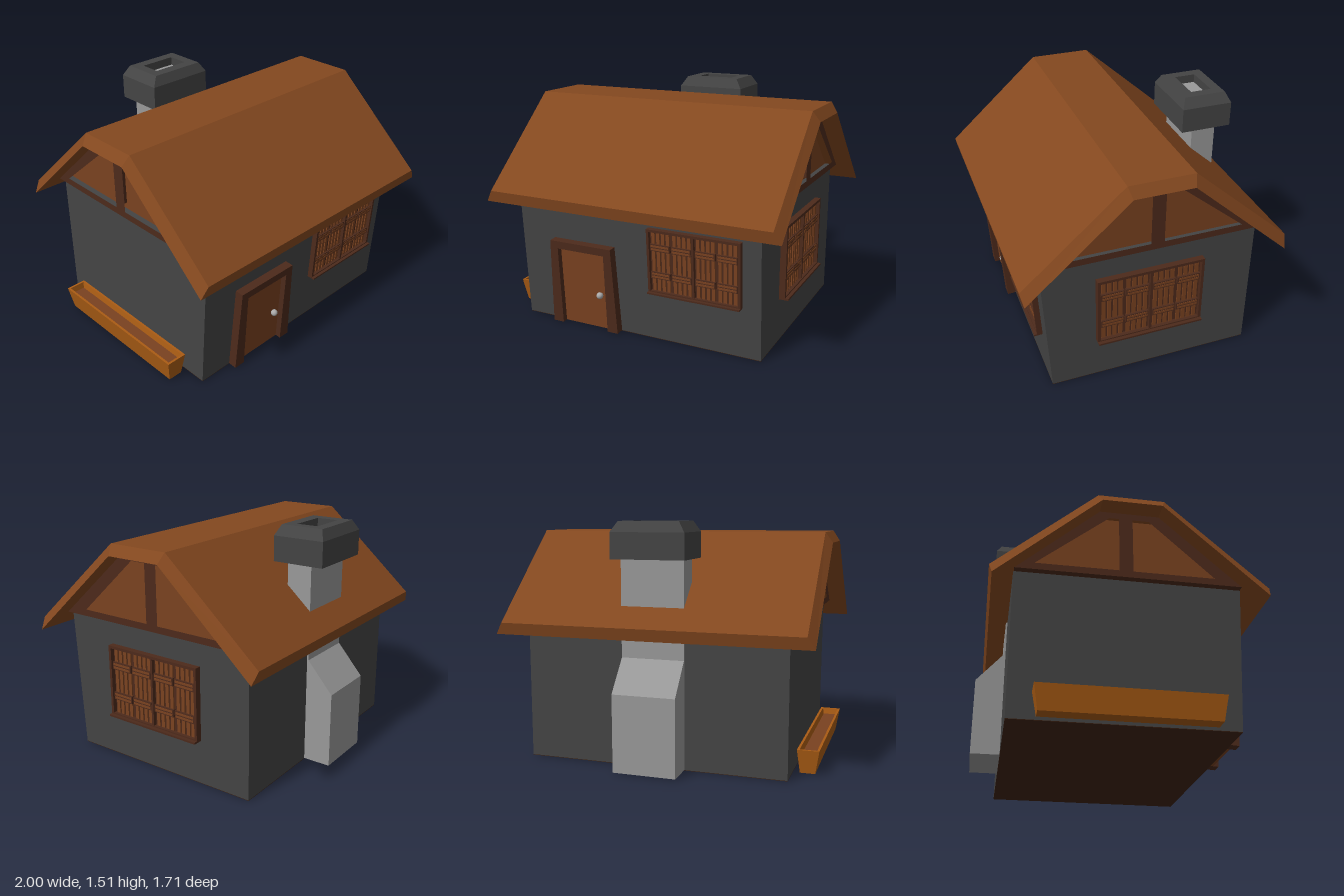
import * as THREE from 'three';

const C = {
  wall: 0x444444, stone: 0x999999, roof: 0x84481f, panel: 0x7a4220,
  beam: 0x4d2a1b, floor: 0x3f2413, planter: 0xaa5c14, knob: 0xaaaaaa,
};

function mesh(name, geometry, color) {
  const m = new THREE.Mesh(geometry, new THREE.MeshStandardMaterial({ color, flatShading: true }));
  m.name = name;
  return m;
}

function box(name, color, w, h, d, x, y, z) {
  const m = mesh(name, new THREE.BoxGeometry(w, h, d), color);
  m.position.set(x, y, z);
  return m;
}

// Geometry from four-cornered faces, corners counter-clockwise
function fromQuads(quads) {
  const pos = quads.flatMap(([a, b, c, d]) => [a, b, c, a, c, d].flat());
  const g = new THREE.BufferGeometry();
  g.setAttribute('position', new THREE.Float32BufferAttribute(pos, 3));
  g.computeVertexNormals();
  return g;
}

// Rectangular ring at height y, and a capped loft through such rings
const ring = (y, x0, x1, z0, z1) => [[x0, y, z1], [x1, y, z1], [x1, y, z0], [x0, y, z0]];
function loft(rings) {
  const quads = [[...rings[0]].reverse(), rings[rings.length - 1]];
  for (let r = 0; r + 1 < rings.length; r++) {
    for (let i = 0; i < 4; i++) {
      const j = (i + 1) % 4;
      quads.push([rings[r][i], rings[r][j], rings[r + 1][j], rings[r + 1][i]]);
    }
  }
  return fromQuads(quads);
}

// Side profile of [z, y] points extruded along x, with optional holes
function extrudeX(points, x0, x1, holes = []) {
  const vec = (pts) => pts.map(([z, y]) => new THREE.Vector2(-z, y));
  const shape = new THREE.Shape(vec(points));
  holes.forEach((h) => shape.holes.push(new THREE.Path(vec(h))));
  const g = new THREE.ExtrudeGeometry(shape, { depth: x1 - x0, bevelEnabled: false });
  return g.rotateY(Math.PI / 2).translate(x0, 0, 0);
}

// Roof shell: outer skin shorter than the inner one, so the ends are bevelled
function roof() {
  const outer = [[0.855, 0.885], [0.225, 1.445], [-0.185, 1.445], [-0.815, 0.885]];
  const inner = [[0.84, 0.81], [0.205, 1.38], [-0.165, 1.38], [-0.797, 0.81]];
  const O = (i, s) => [s * 0.955, outer[i][1], outer[i][0]];
  const I = (i, s) => [s, inner[i][1], inner[i][0]];
  const quads = [
    [I(0, -1), I(0, 1), O(0, 1), O(0, -1)],
    [O(3, -1), O(3, 1), I(3, 1), I(3, -1)],
  ];
  for (let i = 0; i < 3; i++) {
    quads.push(
      [O(i, -1), O(i, 1), O(i + 1, 1), O(i + 1, -1)],
      [I(i + 1, -1), I(i + 1, 1), I(i, 1), I(i, -1)],
      [I(i, 1), I(i + 1, 1), O(i + 1, 1), O(i, 1)],
      [O(i, -1), O(i + 1, -1), I(i + 1, -1), I(i, -1)],
    );
  }
  return mesh('roof', fromQuads(quads), C.roof);
}

// Shuttered window facing +z, centred on its origin
function shutterWindow(name) {
  const g = new THREE.Group();
  g.name = name;
  const W = 0.695, H = 0.475, f = 0.018, half = (W - 2 * f - 0.016) / 2;
  g.add(box('windowBacking', C.beam, W - f, H - f, 0.012, 0, 0, 0.006));
  for (const s of [-1, 1]) {
    g.add(box('frameSide', C.beam, f, H, 0.04, s * (W - f) / 2, 0, 0.02));
    g.add(box('frameRail', C.beam, W - 2 * f, f, 0.04, 0, s * (H - f) / 2, 0.02));
    for (const k of [0.25, 0.75]) {
      const cx = s * (0.008 + half * k);
      for (let i = 0; i < 4; i++) {
        g.add(box('slat', C.panel, 0.024, H - 2 * f, 0.01, cx + (i - 1.5) * 0.037, 0, 0.015));
      }
      // Cross bars with a lighter inset strip
      for (const y of [0.105, -0.1]) {
        g.add(box('crossBar', C.beam, 0.15, 0.05, 0.02, cx, y, 0.022));
        for (const dy of [-0.011, 0.011]) {
          g.add(box('barInset', C.panel, 0.135, 0.014, 0.004, cx, y + dy, 0.032));
        }
      }
    }
  }
  g.add(box('mullion', C.beam, 0.016, H - 2 * f, 0.036, 0, 0, 0.018));
  g.add(box('sill', C.beam, W, 0.012, 0.062, 0, -H / 2 + 0.004, 0.031));
  return g;
}

// Door with flared frame, facing +z, standing on its origin
function door() {
  const g = new THREE.Group();
  g.name = 'door';
  const outline = [[-0.245, 0.004], [-0.17, 0.004], [-0.17, 0.53], [0.17, 0.53],
    [0.17, 0.004], [0.245, 0.004], [0.223, 0.58], [-0.223, 0.58]];
  const shape = new THREE.Shape(outline.map(([x, y]) => new THREE.Vector2(x, y)));
  g.add(mesh('doorFrame', new THREE.ExtrudeGeometry(shape, { depth: 0.057, bevelEnabled: false }), C.beam));
  g.add(box('doorLeaf', C.panel, 0.34, 0.526, 0.02, 0, 0.267, 0.01));
  const knob = mesh('doorKnob', new THREE.SphereGeometry(0.022, 16, 10), C.knob);
  knob.material.flatShading = false;
  knob.position.set(0.114, 0.24, 0.035);
  g.add(knob);
  return g;
}

export function createModel() {
  const house = new THREE.Group();
  house.name = 'cottage';
  const lean = Math.atan2(0.054, 0.925);

  // Walls with the front leaning outward, and the floor
  house.add(mesh('walls', extrudeX([[0.66, 0.003], [0.714, 0.925], [-0.673, 0.925], [-0.673, 0.003]], -0.837, 0.837), C.wall));
  house.add(mesh('floor', loft([ring(0, -0.837, 0.837, -0.673, 0.66), ring(0.003, -0.837, 0.837, -0.673, 0.66)]), C.floor));
  house.add(roof());

  // Gable panels and timber frames at both ends
  const gable = [[0.714, 0.925], [0.205, 1.38], [-0.165, 1.38], [-0.673, 0.925]];
  const holes = [
    [[0.545, 0.968], [0.142, 1.338], [0.04, 1.338], [0.04, 0.968]],
    [[-0.045, 0.968], [-0.045, 1.338], [-0.105, 1.338], [-0.553, 0.968]],
  ];
  house.add(mesh('gablePanels', extrudeX(gable, -0.8, 0.8), C.panel));
  for (const x0 of [-0.88, 0.8]) {
    house.add(mesh('gableTimber', extrudeX(gable, x0, x0 + 0.08, holes), C.beam));
  }

  // Door and windows
  const d = door();
  d.position.set(-0.363, 0, 0.66);
  d.rotation.x = lean;
  const front = shutterWindow('frontWindow');
  front.position.set(0.415, 0.54, 0.691);
  front.rotation.x = lean;
  front.scale.setScalar(0.88);
  const side = shutterWindow('sideWindow');
  side.position.set(0.837, 0.5275, 0.0225);
  side.rotation.y = Math.PI / 2;
  house.add(d, front, side);

  // Chimney with a sloped shoulder and a hollow bevelled cap
  house.add(mesh('chimneyStack', extrudeX([[-0.52, 0.004], [-0.52, 1.46], [-0.683, 1.46],
    [-0.683, 0.685], [-0.853, 0.49], [-0.853, 0.004]], -0.2, 0.2), C.stone));
  house.add(mesh('chimneyCap', loft([
    ring(1.29, -0.232, 0.232, -0.774, -0.436),
    ring(1.45, -0.232, 0.232, -0.774, -0.436),
    ring(1.515, -0.19, 0.19, -0.743, -0.464),
    ring(1.515, -0.124, 0.124, -0.675, -0.535),
    ring(1.45, -0.124, 0.124, -0.675, -0.535),
  ]), C.wall));

  // Long planter beside the wall
  house.add(mesh('planter', loft([
    ring(0.005, -0.975, -0.882, -0.51, 0.51),
    ring(0.155, -1, -0.865, -0.535, 0.535),
    ring(0.155, -0.985, -0.88, -0.52, 0.52),
    ring(0.11, -0.978, -0.887, -0.513, 0.513),
  ]), C.planter));
  house.add(box('soil', C.panel, 0.09, 0.01, 1.025, -0.9325, 0.11, 0));
  return house;
}
